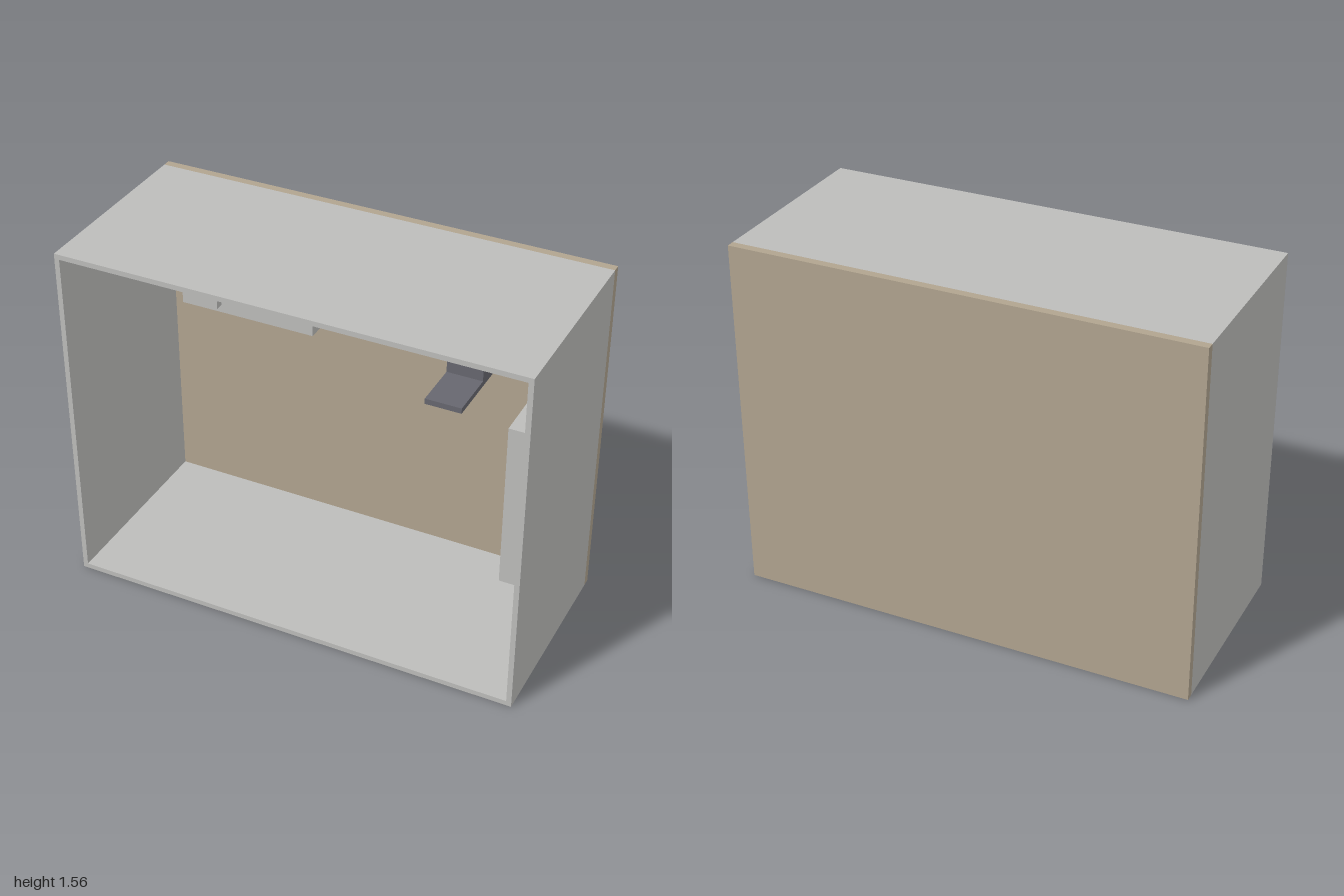
import * as THREE from 'three';

const mat = (name, color) => {
  const m = new THREE.MeshStandardMaterial({ color });
  m.name = name;
  return m;
};

export function createModel() {
  const room = new THREE.Group();
  room.name = 'room';
  const grey = mat('pale grey', 0xbcbcba);
  const tan = mat('tan floor', 0xb1a48f);
  const dark = mat('dark slate', 0x67676f);

  // Box given by its limits along x, y and z
  const box = (name, material, [x0, x1], [y0, y1], [z0, z1], parent = room) => {
    const mesh = new THREE.Mesh(new THREE.BoxGeometry(x1 - x0, y1 - y0, z1 - z0), material);
    mesh.position.set((x0 + x1) / 2, (y0 + y1) / 2, (z0 + z1) / 2);
    mesh.name = name;
    parent.add(mesh);
  };
  const group = (name) => {
    const g = new THREE.Group();
    g.name = name;
    room.add(g);
    return g;
  };

  // Shell: the room lies on its side, its floor at the back and its open top at +z
  const H = 1.56, F = -0.405, T = 0.022, D = 0.44;
  box('floor', tan, [-1, 1], [0, H], [-D, F]);
  const walls = group('walls');
  box('lowerWall', grey, [-1, 1], [0, T], [F, D], walls);
  box('upperWall', grey, [-1, 1], [H - T, H], [F, D], walls);
  for (const [name, s] of [['leftWall', 1], ['rightWall', -1]]) {
    const xs = [s * (1 - T), s].sort((a, b) => a - b);
    box(name, grey, xs, [T, H - T], [F, D], walls);
  }

  // Thin panel on the upper wall
  box('wallPanel', grey, [-0.11, 0.36], [H - T - 0.005, H - T], [-0.08, 0.2]);

  // Bed
  const bed = group('bed');
  box('mattress', grey, [-0.83, -0.21], [1.03, 1.387], [F, -0.22], bed);
  box('pillow', grey, [-0.77, -0.64], [1.067, 1.345], [-0.22, -0.18], bed);

  // Desk with screen
  const desk = group('desk');
  box('deskBody', tan, [0.24, 0.69], [1.203, 1.405], [F, -0.165], desk);
  box('screen', dark, [0.36, 0.567], [1.337, 1.36], [-0.165, -0.04], desk);

  // Chair
  const chair = group('chair');
  box('seat', dark, [0.385, 0.545], [0.985, 1.148], [F, -0.247], chair);
  box('backrest', dark, [0.385, 0.545], [0.985, 1.01], [-0.247, -0.03], chair);

  // Low cabinet along the left wall
  box('cabinet', grey, [0.712, 0.968], [0.13, 0.91], [F, -0.12]);

  return room;
}
